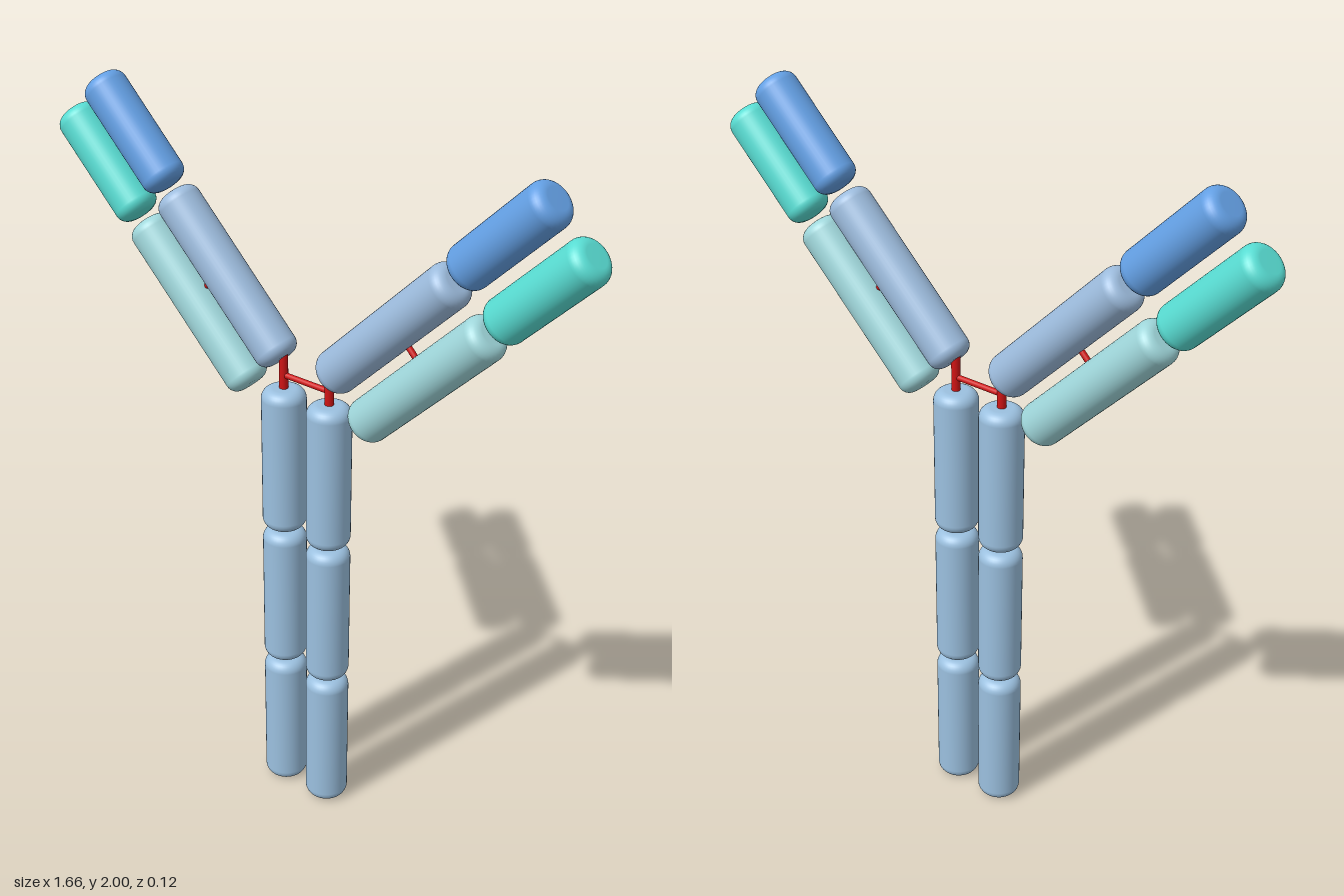
import * as THREE from 'three';

const mat = (name, color) => {
  const m = new THREE.MeshStandardMaterial({ color });
  m.name = name;
  return m;
};

// Round bar along y with softly rounded rims
function roundedBar(length, r = 0.06, c = 0.03) {
  const pts = [new THREE.Vector2(0, -length / 2)];
  for (const end of [-1, 1]) {
    for (let i = 0; i <= 8; i++) {
      const a = (end < 0 ? i - 8 : i) * Math.PI / 16;
      pts.push(new THREE.Vector2(r - c + c * Math.cos(a), end * (length / 2 - c) + c * Math.sin(a)));
    }
  }
  pts.push(new THREE.Vector2(0, length / 2));
  return new THREE.LatheGeometry(pts, 40);
}

export function createModel() {
  const model = new THREE.Group();
  model.name = 'antibody';

  const stemBlue = mat('stem blue', 0x9bc0df);
  const armBlue = mat('arm blue', 0x9cbbdc);
  const paleTeal = mat('pale teal', 0x9fd6da);
  const tipBlue = mat('tip blue', 0x639fe3);
  const tipTeal = mat('tip teal', 0x58dcd2);
  const red = mat('link red', 0xd01414);

  const add = (name, geometry, material, x, y, tilt = 0) => {
    const mesh = new THREE.Mesh(geometry, material);
    mesh.name = name;
    mesh.position.set(x, y, 0);
    mesh.rotation.z = tilt;
    model.add(mesh);
  };

  const stemBar = roundedBar(0.418);
  const longBar = roundedBar(0.515);
  const shortBar = roundedBar(0.33);
  const hinge = new THREE.CylinderGeometry(0.012, 0.012, 0.2, 16);
  const bridge = new THREE.CylinderGeometry(0.008, 0.008, 0.15, 16);
  const armLink = new THREE.CylinderGeometry(0.008, 0.008, 0.1, 16);
  const mid = -0.003; // mirror line of the two halves

  for (const [s, side, angle] of [[1, 'left', 44.4], [-1, 'right', 45]]) {
    const x = (d) => mid + s * d;
    const tilt = -s * (90 - angle) * Math.PI / 180;

    // Stem: three stacked bars and the hinge into the arm
    for (let i = 0; i < 3; i++) add(`${side}StemBar${i + 1}`, stemBar, stemBlue, x(0.076), 0.212 + i * 0.426);
    add(`${side}Hinge`, hinge, red, x(0.076), 1.31);

    // Arm: inner and outer chains with their tips
    add(`${side}InnerArm`, longBar, armBlue, x(0.264), 1.535, tilt);
    add(`${side}OuterArm`, longBar, paleTeal, x(0.368), 1.432, tilt);
    add(`${side}InnerTip`, shortBar, tipBlue, x(0.578), 1.853, tilt);
    add(`${side}OuterTip`, shortBar, tipTeal, x(0.684), 1.749, tilt);
    add(`${side}ArmLink`, armLink, red, x(0.325), 1.5, tilt + Math.PI / 2);
  }

  // Crossbar joining the two hinges
  add('bridge', bridge, red, mid, 1.31, Math.PI / 2);
  return model;
}
